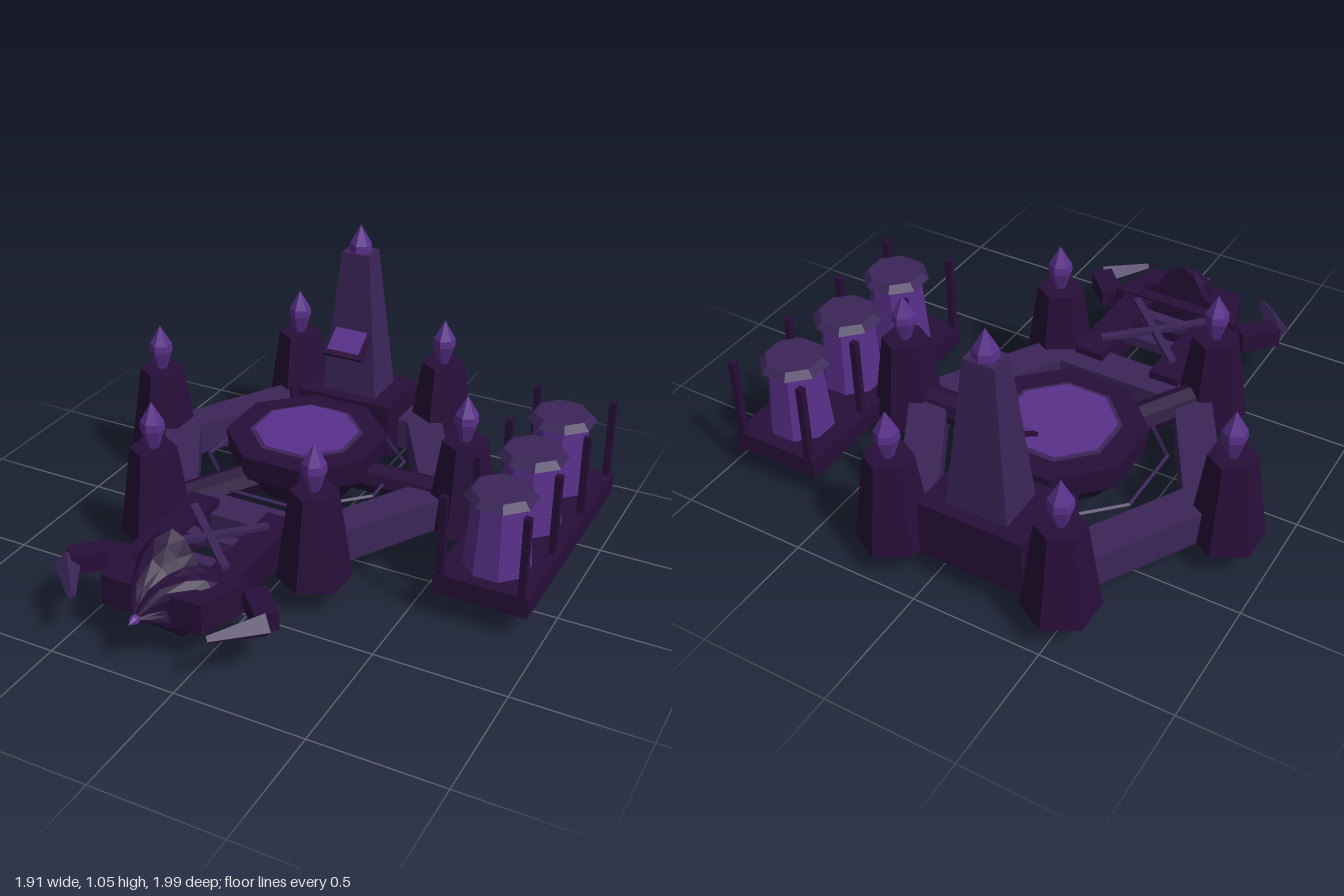
import * as THREE from 'three';

const mat = (name, color, extra) => {
  const m = new THREE.MeshStandardMaterial({ color, ...extra });
  m.name = name;
  return m;
};

export function createModel() {
  const dark = mat('darkPlum', 0x280f3a);
  const mid = mat('slatePurple', 0x3b2558);
  const bright = mat('glowPurple', 0x59308a);
  const root = new THREE.Group();
  const CX = -0.165, CZ = -0.275, HEAD_Y = 0.22;

  // Faceted mesh helper
  const add = (name, geo, material, x = 0, y = 0, z = 0, parent = root) => {
    const g = geo.index ? geo.toNonIndexed() : geo;
    g.computeVertexNormals();
    const m = new THREE.Mesh(g, material);
    m.name = name;
    m.position.set(x, y, z);
    parent.add(m);
    return m;
  };
  const box = (name, w, h, d, material, x, y, z) =>
    add(name, new THREE.BoxGeometry(w, h, d), material, x, y, z);
  // Upright prism or frustum from y0 to y1; eight-sided ones have flats on the axes
  const prism = (name, rBottom, rTop, y0, y1, sides, material, x, z) => {
    const g = new THREE.CylinderGeometry(rTop, rBottom, y1 - y0, sides);
    if (sides !== 6) g.rotateY(Math.PI / sides);
    return add(name, g, material, x, (y0 + y1) / 2, z);
  };
  const crystal = (name, x, y, z, s = 1) => {
    const p = [[0, 0], [0.02, 0], [0.047, 0.08], [0.045, 0.11], [0, 0.19]];
    const pts = p.map(([r, h]) => new THREE.Vector2(r * s, h * s));
    return add(name, new THREE.LatheGeometry(pts, 6), bright, x, y, z);
  };

  // Six corner towers with crystals
  for (let i = 0; i < 6; i++) {
    const a = i * Math.PI / 3;
    const x = CX + 0.67 * Math.cos(a), z = CZ + 0.67 * Math.sin(a);
    prism('tower', 0.14, 0.088, 0.11, 0.47, 6, dark, x, z);
    crystal('towerCrystal', x, 0.468, z);
  }

  // Hexagonal outer wall
  const hexagon = (r) => Array.from({ length: 6 }, (_, i) =>
    new THREE.Vector2(r * Math.cos(i * Math.PI / 3), r * Math.sin(i * Math.PI / 3)));
  const wall = new THREE.Shape(hexagon(0.66));
  wall.holes.push(new THREE.Path(hexagon(0.495)));
  const wallGeo = new THREE.ExtrudeGeometry(wall, { depth: 0.13, bevelEnabled: false });
  wallGeo.rotateX(-Math.PI / 2);
  add('outerWall', wallGeo, mid, CX, 0.11, CZ);

  // Central basin with glowing pool
  prism('basinBowl', 0.2, 0.3, 0.12, 0.24, 8, dark, CX, CZ);
  prism('basinRim', 0.31, 0.32, 0.24, 0.34, 8, dark, CX, CZ);
  prism('poolBorder', 0.225, 0.225, 0.34, 0.344, 8, mid, CX, CZ);
  prism('pool', 0.208, 0.208, 0.34, 0.349, 8, bright, CX, CZ);

  // Thin conduit around the basin
  const conduit = new THREE.TorusGeometry(0.39, 0.008, 4, 8);
  conduit.rotateZ(Math.PI / 8);
  conduit.rotateX(Math.PI / 2);
  add('conduitRing', conduit, mid, CX, 0.22, CZ);

  // Three round spokes
  for (let i = 0; i < 3; i++) {
    const a = i * Math.PI * 2 / 3;
    const g = new THREE.CylinderGeometry(0.062, 0.062, 0.38, 8);
    g.rotateZ(Math.PI / 2);
    const s = add('spoke', g, dark, CX + 0.4 * Math.cos(a), 0.21, CZ + 0.4 * Math.sin(a));
    s.rotation.y = -a;
  }

  // Rear obelisk on its plinth
  box('plinth', 0.41, 0.23, 0.29, dark, CX, 0.225, -0.745);
  const obelisk = prism('obelisk', 0.12 * Math.SQRT2, 0.06 * Math.SQRT2, 0.34, 0.94, 4, mid, CX, -0.745);
  obelisk.scale.z = 0.78;
  crystal('obeliskCrystal', CX, 0.86, -0.745);

  // Tilted console
  const console3 = new THREE.Group();
  console3.name = 'console';
  console3.position.set(CX, 0.59, -0.655);
  console3.rotation.x = 0.62;
  root.add(console3);
  add('consoleFrame', new THREE.BoxGeometry(0.175, 0.014, 0.19), dark, 0, 0, 0, console3);
  add('consoleScreen', new THREE.BoxGeometry(0.14, 0.008, 0.11), bright, 0, 0.009, 0.02, console3);

  // Side tray with three jars and guard posts
  box('jarTray', 0.36, 0.08, 0.975, dark, 0.77, 0.15, -0.282);
  for (let i = 0; i < 3; i++) {
    const z = -0.6 + i * 0.32;
    prism('jar', 0.125, 0.102, 0.19, 0.475, 8, bright, 0.77, z);
    prism('jarLid', 0.134, 0.108, 0.472, 0.5, 8, mid, 0.77, z);
  }
  for (let i = 0; i < 4; i++)
    for (const s of [-1, 1])
      box('guardPost', 0.026, 0.33, 0.026, dark, 0.77 + s * 0.153, 0.345, -0.755 + i * 0.317);

  // Front bridge with rails, crossbars and X bracing
  for (const s of [-1, 1]) {
    box('bridgeRail', 0.12, 0.12, 0.44, dark, CX + s * 0.163, 0.21, 0.45);
    const brace = box('bridgeBrace', 0.03, 0.02, 0.44, mid, CX, 0.275, 0.475);
    brace.rotation.y = s * 0.8;
  }
  for (const z of [0.44, 0.59]) box('bridgeCrossbar', 0.24, 0.04, 0.05, mid, CX, 0.235, z);

  // Flat head housing, tapering forward
  const plan = [[-0.27, -0.655], [-0.2, -0.865], [0.2, -0.865], [0.27, -0.655]];
  const housing = new THREE.Shape(plan.map(([x, y]) => new THREE.Vector2(x, y)).reverse());
  const housingGeo = new THREE.ExtrudeGeometry(housing, { depth: 0.12, bevelEnabled: false });
  housingGeo.rotateX(-Math.PI / 2);
  add('headHousing', housingGeo, dark, CX, 0.16, 0);

  // Drill: lobed rings twisted along the axis
  const rings = [[0.71, 0], [0.71, 0.22], [0.755, 0.195], [0.8, 0.155], [0.87, 0.1], [0.92, 0.05], [0.955, 0.012]];
  const N = 24, pos = [], idx = [];
  rings.forEach(([z, r], k) => {
    for (let j = 0; j < N; j++) {
      const t = j / N * Math.PI * 2, twist = (z - 0.71) * 5;
      const lobe = r * (0.82 + 0.18 * Math.cos(4 * t));
      pos.push(lobe * Math.cos(t + twist), lobe * Math.sin(t + twist), z);
      if (k === rings.length - 1) continue;
      const a = k * N + j, b = k * N + (j + 1) % N;
      idx.push(a, b, a + N, b, b + N, a + N);
    }
  });
  const drill = new THREE.BufferGeometry();
  drill.setAttribute('position', new THREE.Float32BufferAttribute(pos, 3));
  drill.setIndex(idx);
  add('drill', drill, dark, CX, HEAD_Y, 0);
  const tip = crystal('drillTip', CX, HEAD_Y, 0.925, 0.38);
  tip.rotation.x = Math.PI / 2;

  // Pincer arms on both sides of the head
  for (const s of [-1, 1]) {
    const link = box('pincerLink', 0.06, 0.05, 0.04, dark, CX + s * 0.28, HEAD_Y, 0.675);
    link.scale.x = 1.2;
    const upper = box('pincerArm', 0.16, 0.075, 0.085, dark, CX + s * 0.345, HEAD_Y, 0.715);
    upper.rotation.y = -s * 0.8;
    const g = new THREE.CylinderGeometry(0.015, 0.048, 0.21, 4);
    g.rotateX(Math.PI / 2);
    const claw = add('pincerClaw', g, mid, CX + s * 0.335, HEAD_Y, 0.865);
    claw.rotation.y = -s * 0.69;
  }
  return root;
}
